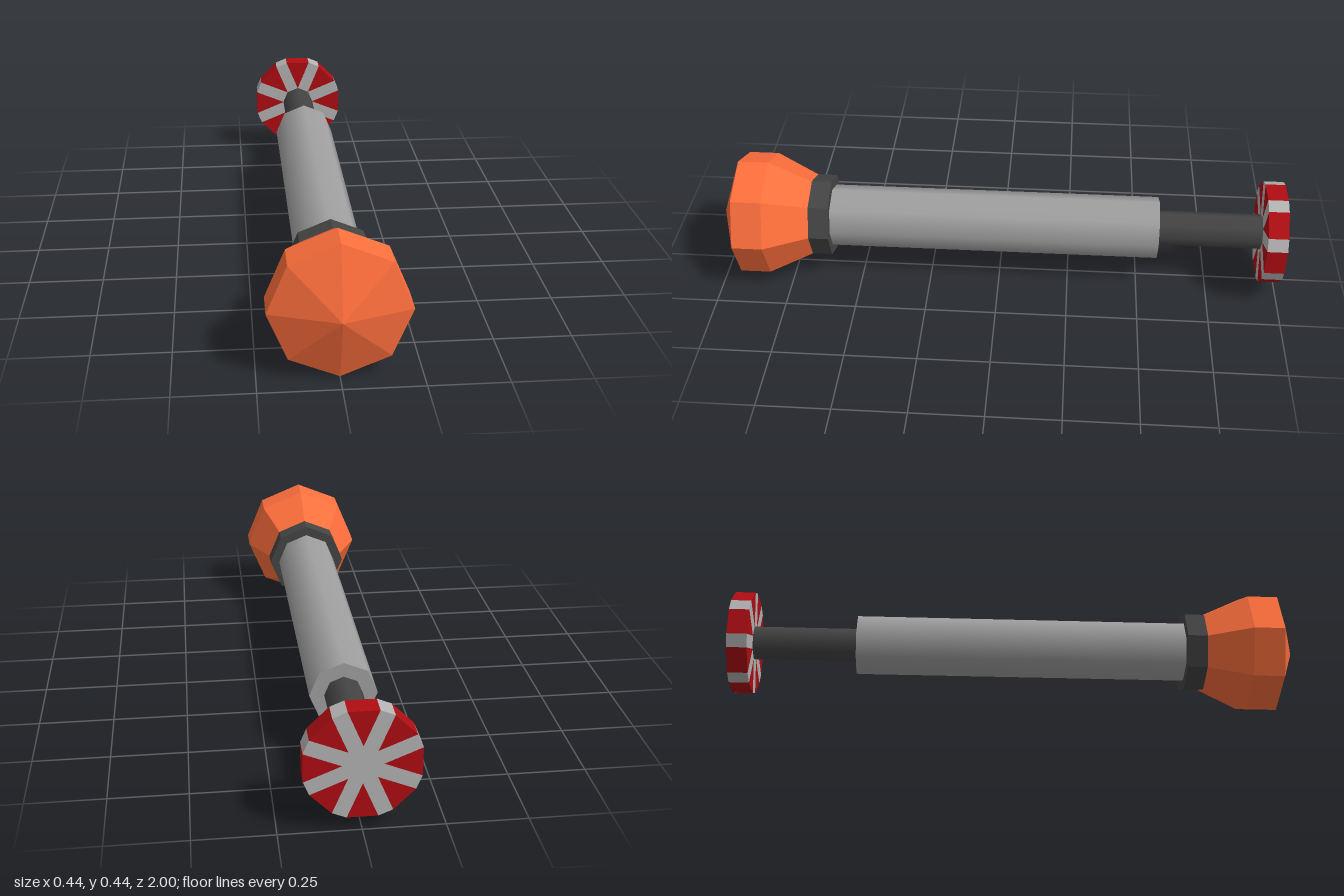
import * as THREE from 'three';

const AXIS_Y = 0.218;

const paint = (color, flatShading = false) =>
  new THREE.MeshStandardMaterial({ color, flatShading });

export function createModel() {
  const root = new THREE.Group();
  const orange = paint(0xff6f3c, true);
  const dark = paint(0x444444, true);
  const rodDark = paint(0x444444);
  const steel = paint(0xa0a0a0);
  const pale = paint(0xb4b4b4, true);
  const red = paint(0xb00d12, true);

  // every part lies along z at the height of the shaft
  const add = (name, geometry, material) => {
    const mesh = new THREE.Mesh(geometry, material);
    mesh.name = name;
    mesh.position.y = AXIS_Y;
    root.add(mesh);
    return mesh;
  };

  // octagonal cylinder running from z0 up to z1
  const bar = (name, radius, z0, z1, material) =>
    add(name, new THREE.CylinderGeometry(radius, radius, z1 - z0, 8)
      .rotateX(Math.PI / 2).translate(0, 0, (z0 + z1) / 2), material);

  // faceted nose
  const profile = [[0, 0.67], [0.145, 0.67], [0.218, 0.82], [0.218, 0.927], [0, 1]]
    .map(([r, z]) => new THREE.Vector2(r, z));
  add('nose', new THREE.LatheGeometry(profile, 8).rotateX(Math.PI / 2), orange);

  // collar, body tube and tail rod
  bar('collar', 0.145, 0.6, 0.67, dark);
  bar('bodyTube', 0.11, -0.565, 0.6, steel);
  bar('tailRod', 0.062, -0.93, -0.565, rodDark);

  // tail disc: pale eight-spoked star with red wedges between the spokes
  const polar = (radius, degrees) => {
    const a = THREE.MathUtils.degToRad(degrees);
    return new THREE.Vector2(radius * Math.cos(a), radius * Math.sin(a));
  };
  const slab = (points) =>
    new THREE.ExtrudeGeometry(new THREE.Shape(points), { depth: 0.07, bevelEnabled: false })
      .translate(0, 0, -1);
  const R = 0.18, HUB = 0.061;
  const star = [];
  for (let i = 0; i < 8; i++) {
    const a = i * 45;
    star.push(polar(HUB, a), polar(R, a + 15), polar(R, a + 30));
    add('discWedge', slab([polar(HUB, a), polar(R, a - 15), polar(R, a + 15)]), red);
  }
  add('discSpokes', slab(star), pale);

  return root;
}
